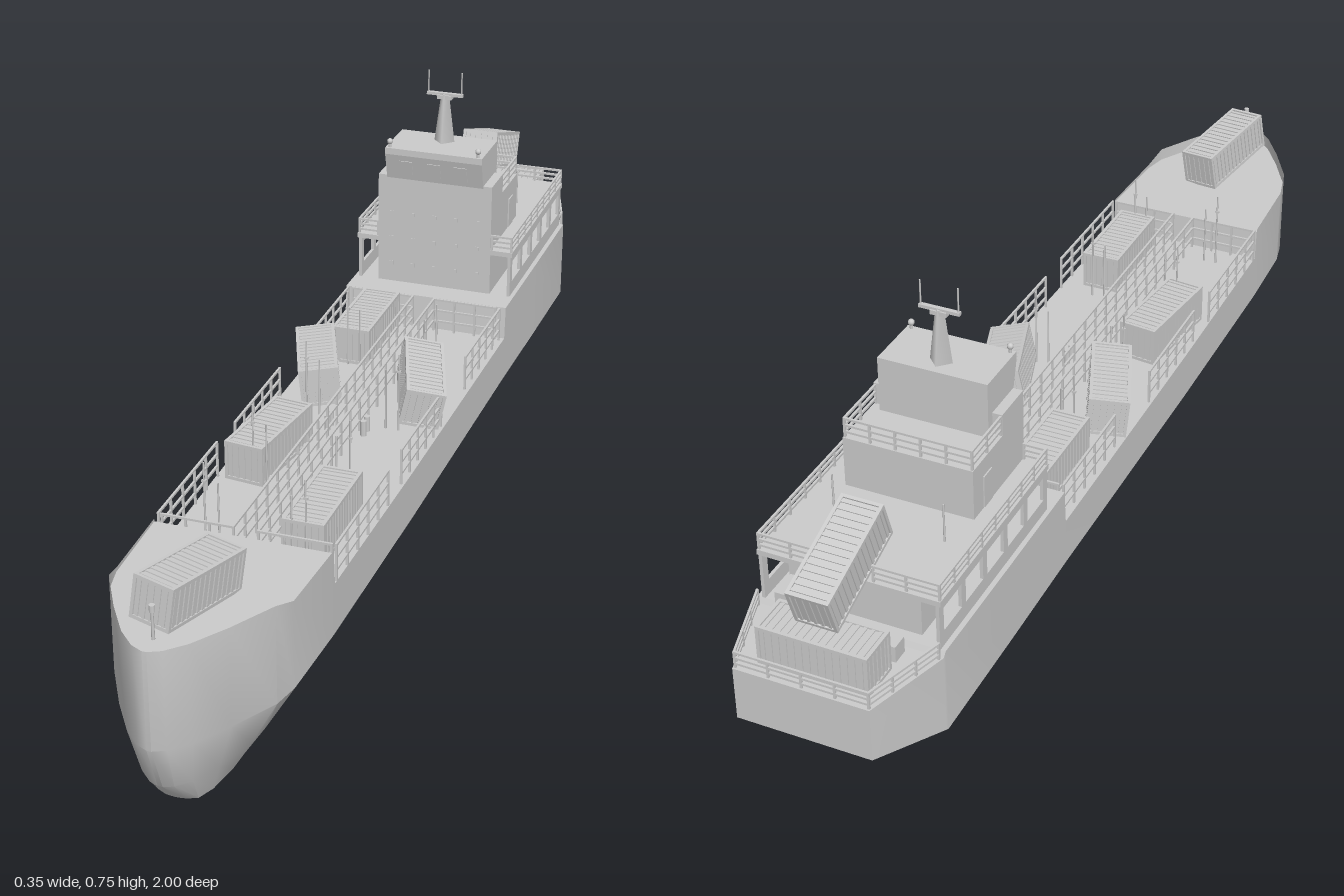
import * as THREE from 'three';
import { mergeGeometries, toCreasedNormals } from 'three/addons/utils/BufferGeometryUtils.js';

const mat = new THREE.MeshStandardMaterial({ color: 0xcccccc, side: THREE.DoubleSide });

const mesh = (name, geo) => {
  const m = new THREE.Mesh(geo, mat);
  m.name = name;
  return m;
};
const box = (w, h, d, x, y, z) => new THREE.BoxGeometry(w, h, d).translate(x, y, z);
const cyl = (r1, r2, h, x, y, z, n = 8) => new THREE.CylinderGeometry(r1, r2, h, n).translate(x, y, z);

// Hull lofted from stations: [z, top half-width, top y, deck y, keel z, keel half-width, keel y, chine y]
function hullGeometry() {
  const S = [
    [1.0, 0.004, 0.33, 0.305, 0.91, 0.004, 0, 0.15],
    [0.99, 0.025, 0.33, 0.305, 0.908, 0.018, 0, 0.15],
    [0.96, 0.055, 0.33, 0.305, 0.9, 0.035, 0, 0.15],
    [0.9, 0.095, 0.33, 0.305, 0.87, 0.048, 0, 0.15],
    [0.82, 0.14, 0.33, 0.305, 0.81, 0.058, 0, 0.15],
    [0.77, 0.151, 0.312, 0.305, 0.77, 0.06, 0, 0.15],
    [0.605, 0.158, 0.31, 0.305, 0.605, 0.06, 0, 0.15],
    [0.6, 0.158, 0.245, 0.245, 0.6, 0.06, 0, 0.15],
    [0.2, 0.164, 0.245, 0.245, 0.2, 0.06, 0.004, 0.152],
    [-0.38, 0.168, 0.245, 0.245, -0.38, 0.055, 0.01, 0.156],
    [-0.385, 0.168, 0.31, 0.31, -0.385, 0.055, 0.01, 0.156],
    [-0.6, 0.169, 0.31, 0.31, -0.6, 0.11, 0.077, 0.153],
    [-0.84, 0.169, 0.31, 0.31, -0.84, 0.168, 0.149, 0.15],
    [-0.845, 0.168, 0.3, 0.3, -0.845, 0.167, 0.151, 0.152],
    [-1.0, 0.12, 0.3, 0.3, -1.0, 0.12, 0.2, 0.201],
  ].map(([z, w, ty, dy, kz, kw, ky, cy]) => ({
    deck: [w, dy, z],
    rows: [
      [w, ty, z], [w, cy, z],
      [w + (kw - w) * 0.58, cy + (ky - cy) * 0.6, z + (kz - z) * 0.38],
      [kw, ky, kz],
    ],
  }));
  const flip = ([x, y, z]) => [-x, y, z];
  const pos = [];
  const quad = (a, b, c, d) => pos.push(...a, ...b, ...c, ...a, ...c, ...d);
  for (let i = 0; i < S.length - 1; i++) {
    const p = S[i], q = S[i + 1];
    for (let j = 0; j < 3; j++) {
      const c = [p.rows[j], p.rows[j + 1], q.rows[j + 1], q.rows[j]];
      quad(...c);
      quad(...c.map(flip).reverse());
    }
    quad(p.rows[3], flip(p.rows[3]), flip(q.rows[3]), q.rows[3]);
    quad(p.deck, q.deck, flip(q.deck), flip(p.deck));
  }
  const end = S[S.length - 1].rows, bow = S[0].rows;
  for (let j = 0; j < 3; j++) {
    quad(end[j], end[j + 1], flip(end[j + 1]), flip(end[j]));
    quad(bow[j], flip(bow[j]), flip(bow[j + 1]), bow[j + 1]);
  }
  const g = new THREE.BufferGeometry();
  g.setAttribute('position', new THREE.Float32BufferAttribute(pos, 3));
  return toCreasedNormals(g, 0.5);
}

// Railing along a ground path of [x, z] points: posts and horizontal bars
function railing(path, y, h, bars = 3) {
  const parts = [], t = 0.004;
  for (let i = 0; i < path.length - 1; i++) {
    const [x1, z1] = path[i], [x2, z2] = path[i + 1];
    const len = Math.hypot(x2 - x1, z2 - z1), n = Math.max(1, Math.round(len / 0.05));
    for (let k = 0; k <= n; k++) {
      parts.push(box(t, h, t, x1 + (x2 - x1) * k / n, y + h / 2, z1 + (z2 - z1) * k / n));
    }
    for (let k = 1; k <= bars; k++) {
      parts.push(new THREE.BoxGeometry(t, t, len).rotateY(Math.atan2(x2 - x1, z2 - z1))
        .translate((x1 + x2) / 2, y + h * k / bars - t / 2, (z1 + z2) / 2));
    }
  }
  return mergeGeometries(parts);
}

// Ribbed cargo container with corner frame and door bars
function container() {
  const W = 0.075, H = 0.075, L = 0.195, f = 0.006, parts = [box(W - 0.006, H - 0.006, L - 0.006, 0, 0, 0)];
  for (const s of [-1, 1]) {
    for (const u of [-1, 1]) {
      parts.push(box(f, H, f, s * (W - f) / 2, 0, u * (L - f) / 2));
      parts.push(box(f, f, L, s * (W - f) / 2, u * (H - f) / 2, 0));
      parts.push(box(W, f, f, 0, s * (H - f) / 2, u * (L - f) / 2));
    }
    for (let i = 0; i < 14; i++) {
      const z = (i - 6.5) * 0.0132;
      parts.push(box(0.003, H - f, 0.006, s * (W / 2 - 0.0025), 0, z));
      if (s > 0) parts.push(box(W - f, 0.003, 0.006, 0, H / 2 - 0.0025, z));
    }
    for (let i = -2; i <= 2; i++) parts.push(box(0.005, H - f, 0.003, i * 0.0125, 0, s * (L / 2 - 0.0025)));
  }
  return mergeGeometries(parts);
}

// Gallery side wall with a row of openings
function galleryWall() {
  const s = new THREE.Shape([[0.44, 0.31], [0.84, 0.31], [0.84, 0.4], [0.44, 0.4]].map(p => new THREE.Vector2(...p)));
  for (let i = 0; i < 5; i++) {
    const a = 0.455 + i * 0.077, b = a + 0.062;
    s.holes.push(new THREE.Path([[a, 0.338], [a, 0.384], [b, 0.384], [b, 0.338]].map(p => new THREE.Vector2(...p))));
  }
  return new THREE.ExtrudeGeometry(s, { depth: 0.006, bevelEnabled: false }).rotateY(Math.PI / 2);
}

export function createModel() {
  const ship = new THREE.Group();
  ship.name = 'cargoShip';
  const add = (name, geo) => ship.add(mesh(name, Array.isArray(geo) ? mergeGeometries(geo) : geo));

  add('hull', hullGeometry());

  // Cargo deck railings, lamp posts and hatch kerbs
  for (const s of [-1, 1]) {
    const side = s > 0 ? 'left' : 'right';
    add(side + 'InnerRailing', railing([[s * 0.15, 0.592], [s * 0.022, 0.592], [s * 0.022, -0.372], [s * 0.15, -0.372]], 0.245, 0.07));
    for (const [a, b] of [[0.59, 0.33], [0.25, 0.02], [-0.14, -0.37]]) {
      add(side + 'OuterRailing', railing([[s * 0.157, a], [s * 0.159, b]], 0.245, 0.07));
    }
    add(side + 'LampPosts', [0.55, 0.33, 0.06, -0.17].flatMap(z => [
      cyl(0.0015, 0.002, 0.155, s * 0.09, 0.322, z, 6), box(0.008, 0.004, 0.004, s * 0.09, 0.365, z),
      cyl(0.0015, 0.002, 0.12, s * 0.065, 0.305, z, 6)]));
    add(side + 'Bollards', [0.08, 0.1].map(z => cyl(0.006, 0.006, 0.03, s * 0.035, 0.26, z)));
  }
  add('bowStaff', [cyl(0.002, 0.003, 0.06, 0, 0.36, 0.965, 6), cyl(0.005, 0.005, 0.012, 0, 0.385, 0.965)]);

  // Containers: [x, y, z, pitch, yaw, roll]
  const cargo = container();
  [
    [-0.085, 0.283, -0.27, 0, 0, 0],
    [-0.105, 0.3, -0.045, 0, 0.38, 0.1],
    [-0.095, 0.283, 0.24, 0, -0.12, 0],
    [0.085, 0.283, 0.455, 0, 0, 0],
    [0.1, 0.295, -0.045, 0.08, 0.33, -0.2],
    [0.003, 0.355, 0.835, -0.13, -0.22, -0.08],
    [-0.007, 0.455, -0.87, -0.33, 0, 0],
    [-0.01, 0.34, -0.94, 0, Math.PI / 2, 0],
  ].forEach(([x, y, z, rx, ry, rz]) => {
    const c = mesh('container', cargo);
    c.position.set(x, y, z);
    c.rotation.set(rx, ry, rz, 'YXZ');
    ship.add(c);
  });

  // Deckhouse with side galleries and upper deck
  add('deckhouse', box(0.236, 0.09, 0.38, 0, 0.355, -0.63));
  add('upperDeck', box(0.326, 0.01, 0.4, 0, 0.4, -0.64));
  for (const s of [-1, 1]) {
    add('galleryWall', galleryWall().translate(s > 0 ? 0.154 : -0.16, 0, 0));
    add('upperDeckRailing', railing([[s * 0.12, -0.444], [s * 0.16, -0.444], [s * 0.16, -0.836], [s * 0.045, -0.836]], 0.405, 0.032));
    add('sternRailing', railing([[s * 0.162, -0.85], [s * 0.117, -0.995], [0, -0.995]], 0.3, 0.032));
  }
  add('sternLocker', [box(0.05, 0.08, 0.05, 0.075, 0.34, -0.87), box(0.03, 0.03, 0.03, -0.09, 0.315, -0.87)]);
  add('deckPoles', [-0.1, 0.1].map(x => cyl(0.0015, 0.002, 0.075, x, 0.44, -0.7, 6)));

  // Accommodation tower
  add('tower', box(0.236, 0.195, 0.19, 0, 0.4025, -0.535));
  add('bridgeWings', [-1, 1].map(s => box(0.02, 0.04, 0.08, s * 0.108, 0.52, -0.48)));
  add('towerRailing', railing([[-0.115, -0.52], [-0.115, -0.626], [0.115, -0.626], [0.115, -0.52]], 0.5, 0.038));
  const ports = [];
  for (let r = 0; r < 3; r++) for (let i = -2; i <= 2; i++) ports.push(box(0.008, 0.008, 0.002, i * 0.045, 0.35 + r * 0.055, -0.4395));
  add('towerPortholes', ports);
  add('towerDoors', [-1, 1].map(s => box(0.003, 0.06, 0.03, s * 0.119, 0.437, -0.58)));

  // Bridge with a forward-leaning front
  const profile = new THREE.Shape([[0.44, 0.5], [0.44, 0.535], [0.425, 0.59], [0.425, 0.603], [0.535, 0.603], [0.535, 0.5]]
    .map(p => new THREE.Vector2(...p)));
  add('bridge', new THREE.ExtrudeGeometry(profile, { depth: 0.2, bevelEnabled: false }).rotateY(Math.PI / 2).translate(-0.1, 0, 0));
  add('bridgeWindows', [-0.058, 0, 0.055].map(x =>
    new THREE.BoxGeometry(0.026, 0.032, 0.002).rotateX(0.266).translate(x, 0.562, -0.4323)));
  add('roofLamps', [-0.092, 0.09].flatMap(x => [
    cyl(0.003, 0.003, 0.012, x, 0.608, -0.432), new THREE.SphereGeometry(0.006, 8, 6).translate(x, 0.615, -0.432)]));

  // Mast with crossbar and aerials
  add('mast', [
    cyl(0.008, 0.021, 0.1, 0, 0.652, -0.5, 4).rotateY(0).toNonIndexed(),
    box(0.074, 0.006, 0.008, 0, 0.701, -0.5).toNonIndexed(),
    box(0.03, 0.008, 0.014, 0, 0.696, -0.5).toNonIndexed(),
    ...[-0.034, 0.034].map(x => cyl(0.0015, 0.0015, 0.046, x, 0.725, -0.5, 6).toNonIndexed()),
  ]);
  return ship;
}
